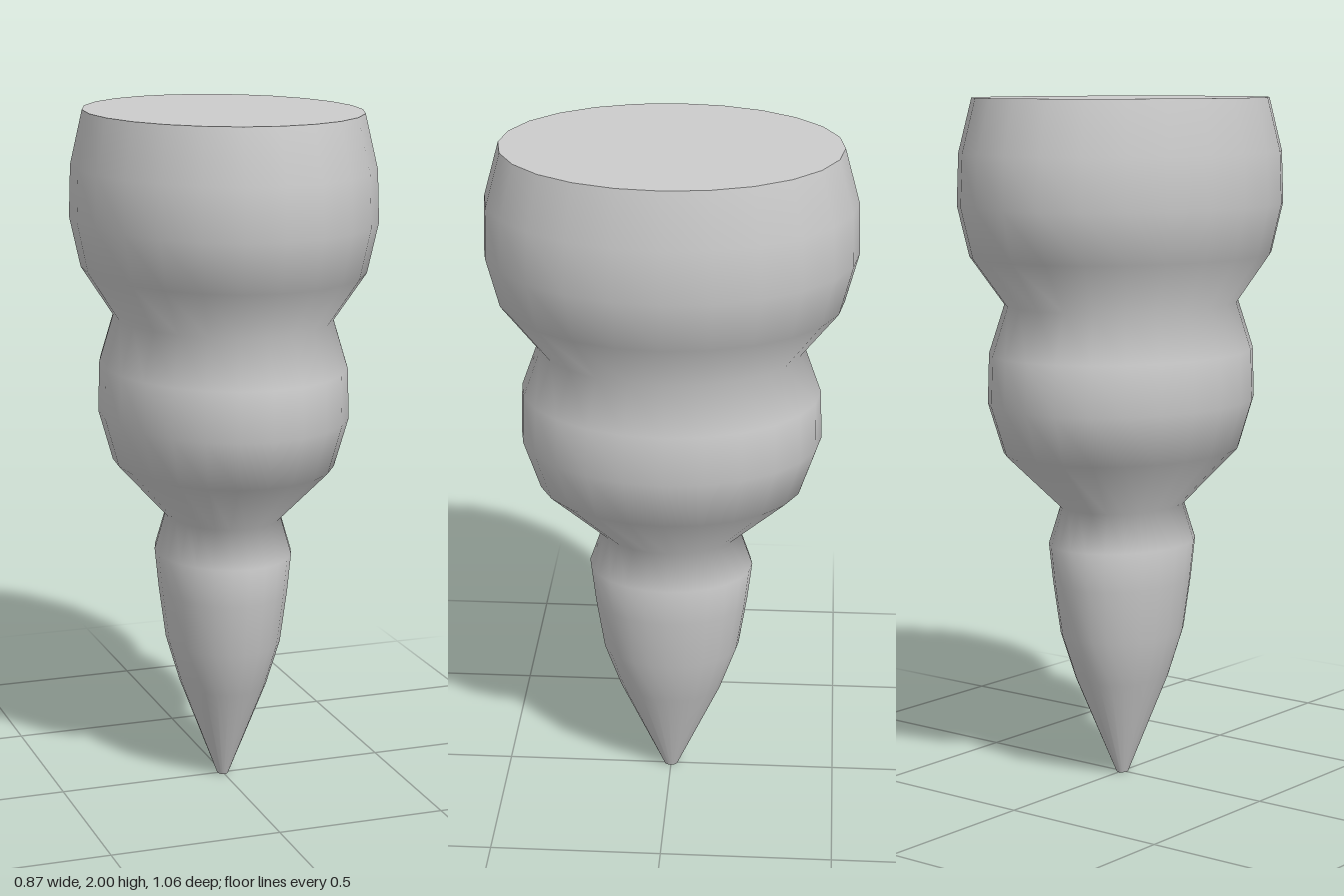
import * as THREE from 'three';

const SIDES = 24;
const DEPTH = 1.225; // oval cross-section: z radius relative to x radius

// [radius, height] from the tip up through the three bulging tiers
const PROFILE = [
  [0.016, 0], [0.127, 0.296], [0.167, 0.434], [0.187, 0.59], [0.198, 0.705],
  [0.167, 0.815], [0.317, 0.98], [0.357, 1.125], [0.353, 1.27], [0.312, 1.41],
  [0.402, 1.55], [0.433, 1.695], [0.428, 1.845], [0.393, 2],
];

export function createModel() {
  const group = new THREE.Group();
  const material = new THREE.MeshStandardMaterial({ color: 0xcccccc });

  const add = (name, geometry) => {
    geometry.scale(1, 1, DEPTH);
    const mesh = new THREE.Mesh(geometry, material);
    mesh.name = name;
    group.add(mesh);
  };

  // Tiered, tapering body
  const points = PROFILE.map(([r, y]) => new THREE.Vector2(r, y));
  add('taperedBody', new THREE.LatheGeometry(points, SIDES));

  // Flat end caps
  const cap = (name, [r, y], facing) => {
    const disc = new THREE.CircleGeometry(r, SIDES);
    disc.rotateX(-facing * Math.PI / 2).translate(0, y, 0);
    add(name, disc);
  };
  cap('topCap', PROFILE[PROFILE.length - 1], 1);
  cap('tipCap', PROFILE[0], -1);

  return group;
}
